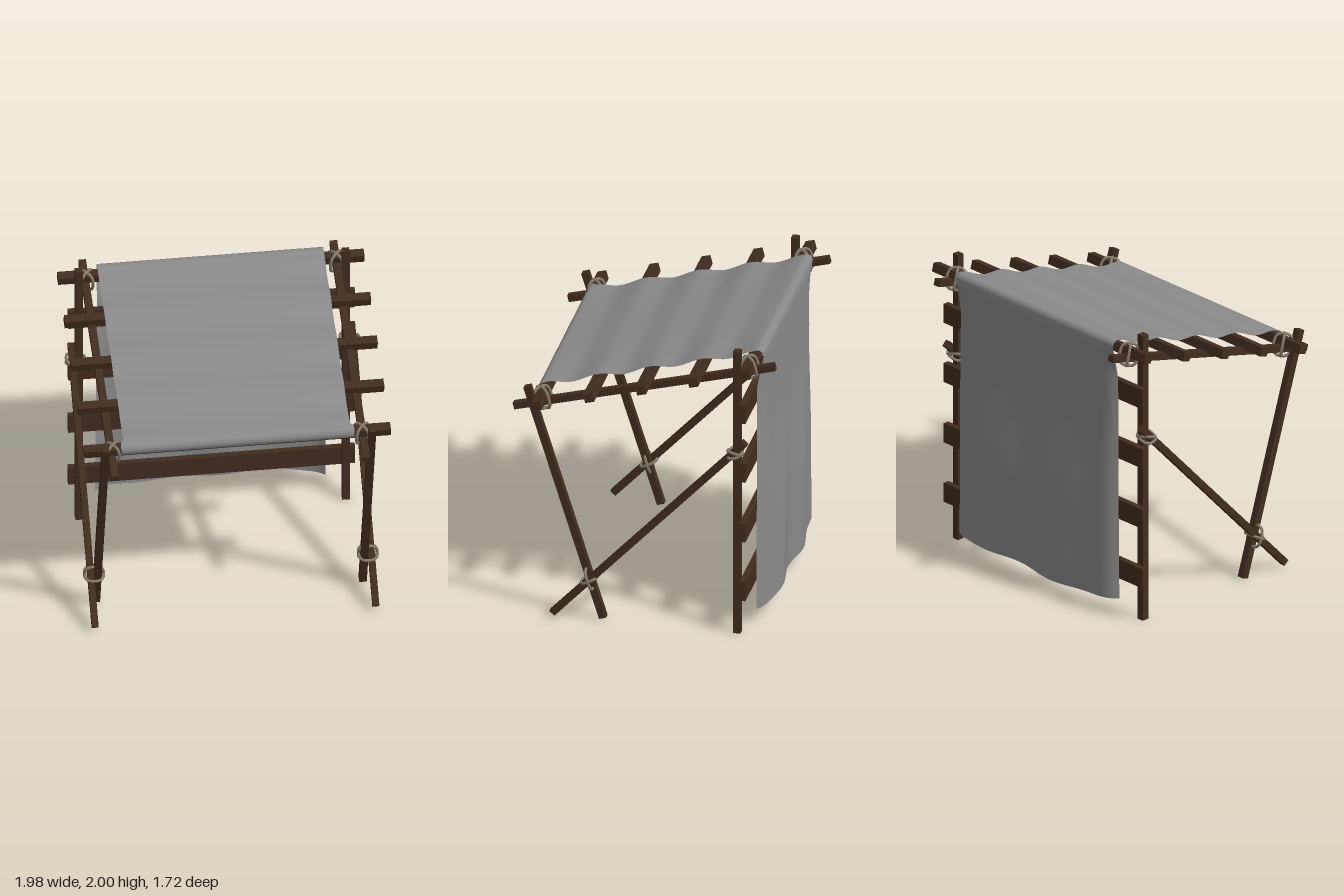
import * as THREE from 'three';

export function createModel() {
  const model = new THREE.Group();
  const wood = new THREE.MeshStandardMaterial({ color: 0x412d21 });
  wood.name = 'dark wood';
  const rope = new THREE.MeshStandardMaterial({ color: 0x877c6e });
  rope.name = 'rope';
  const canvas = new THREE.MeshStandardMaterial({ color: 0x8a8a8a, side: THREE.DoubleSide });
  canvas.name = 'grey canvas';

  const V = (x, y, z) => new THREE.Vector3(x, y, z);
  const add = (name, geometry, material) => {
    const mesh = new THREE.Mesh(geometry, material);
    mesh.name = name;
    model.add(mesh);
    return mesh;
  };

  // Square timber between two points
  function beam(name, a, b, w = 0.048, d = 0.048) {
    const dir = b.clone().sub(a);
    const mesh = add(name, new THREE.BoxGeometry(w, dir.length(), d), wood);
    mesh.position.copy(a).add(b).multiplyScalar(0.5);
    mesh.quaternion.setFromUnitVectors(V(0, 1, 0), dir.normalize());
  }

  // Rope loop: rounded rectangle spanned by two half-axes
  function loop(name, centre, u, v) {
    const pts = [];
    for (let i = 0; i < 20; i++) {
      const a = (i / 20) * Math.PI * 2, c = Math.cos(a), s = Math.sin(a);
      const round = (k) => Math.sign(k) * Math.pow(Math.abs(k), 0.75);
      pts.push(centre.clone().addScaledVector(u, round(c)).addScaledVector(v, round(s)));
    }
    const path = new THREE.CatmullRomCurve3(pts, true);
    add(name, new THREE.TubeGeometry(path, 40, 0.01, 6, true), rope);
  }

  const slope = 0.262;
  const tilt = Math.atan(slope);
  const along = V(0, Math.sin(tilt), -Math.cos(tilt));
  const normal = V(0, Math.cos(tilt), Math.sin(tilt));
  const rafterY = (z) => 1.66 - slope * z;

  // Side frames, mirrored
  for (const s of [1, -1]) {
    beam('backPost', V(s * 0.86, 0, -0.62), V(s * 0.86, 2, -0.62));
    beam('frontLeg', V(s * 0.86, 0.015, 0.26), V(s * 0.86, 1.605, 0.757));
    beam('brace', V(s * 0.905, 0.037, 0.583), V(s * 0.905, 1.37, -0.68), 0.042, 0.045);
    beam('rafter', V(s * 0.81, rafterY(0.855), 0.855), V(s * 0.81, rafterY(-0.855), -0.855), 0.048, 0.045);

    for (const d of [1, -1]) {
      // Diagonal lashings at both ends of the rafter
      for (const z of [0.665, -0.69]) {
        const centre = V(s * 0.805, rafterY(z) + 0.022, z);
        loop('rafterLashing', centre, V(0.04, 0, 0).addScaledVector(along, d * 0.045),
          normal.clone().multiplyScalar(0.075));
      }
      // Lashing of brace to post, and of brace to front leg
      loop('postLashing', V(s * 0.883, 1.285, -0.61), V(0.06, d * 0.018, 0), V(0, d * 0.012, 0.046));
      loop('legLashing', V(s * 0.883, 0.29, 0.345), V(0.06, 0, 0),
        d > 0 ? V(0, 0.068, 0.022) : V(0, 0.025, -0.052));
    }
  }

  // Cross poles on the rafters
  for (let i = 0; i < 5; i++) {
    const z = 0.67 - i * 0.341;
    const pole = add('crossPole', new THREE.BoxGeometry(1.975, 0.06, 0.06), wood);
    pole.position.set(0, rafterY(z) + 0.046, z);
    pole.rotation.x = tilt;
  }

  // Planks behind the back posts
  for (const y of [0.32, 0.738, 1.162, 1.578]) {
    const plank = add('backPlank', new THREE.BoxGeometry(1.85, 0.134, 0.04), wood);
    plank.position.set(0, y, -0.665);
  }

  // Canvas: rows run from the front roll over the roof and down the back
  const rows = [];
  for (let i = 0; i <= 9; i++) {
    const a = -2.5 + (i / 9) * 3.8;
    rows.push({ z: 0.668 + 0.046 * Math.cos(a), y: 1.538 + 0.046 * Math.sin(a), half: 0.752 });
  }
  for (let i = 0; i <= 40; i++) {
    const z = 0.65 - (i / 40) * 1.35;
    rows.push({ z, y: 1.757 - slope * z, half: 0.73, sag: Math.sin(Math.PI * (0.667 - z) / 0.341) ** 2 });
  }
  for (const [z, y] of [[-0.73, 1.948], [-0.752, 1.935], [-0.763, 1.91]]) rows.push({ z, y, half: 0.73 });
  for (let i = 1; i <= 30; i++) {
    const v = i / 30;
    rows.push({ z: -0.763, y: 1.91 - 1.785 * v, half: 0.73 + 0.013 * v, hang: v });
  }

  const cols = 48, positions = [], indices = [];
  rows.forEach((row, r) => {
    for (let c = 0; c <= cols; c++) {
      const s = (c / cols) * 2 - 1, x = s * row.half;
      let { y, z } = row;
      if (row.sag) y -= row.sag * (0.012 + 0.016 * s * s);
      if (row.hang) {
        // Rippled hang with its side edges turned inwards
        const v = row.hang, swell = THREE.MathUtils.smoothstep(v, 0.25, 0.68);
        const wave = 0.7 + 0.3 * Math.cos((x - 0.4) * 10.5 + (1 - v) * 2);
        z -= 0.055 * swell * wave * (1 - Math.abs(s) ** 4) + 0.006 * Math.sin(x * 5 + v * 9) * v * (1 - v);
        z += 0.045 * Math.abs(s) ** 14 * Math.min(1, v * 8);
        y += 0.008 * Math.sin(x * 6) * v;
      }
      positions.push(x, y, z);
      if (r < rows.length - 1 && c < cols) {
        const a = r * (cols + 1) + c, b = a + cols + 1;
        indices.push(a, a + 1, b, a + 1, b + 1, b);
      }
    }
  });
  const sheet = new THREE.BufferGeometry();
  sheet.setAttribute('position', new THREE.Float32BufferAttribute(positions, 3));
  sheet.setIndex(indices);
  sheet.computeVertexNormals();
  add('canvasCover', sheet, canvas);

  return model;
}
